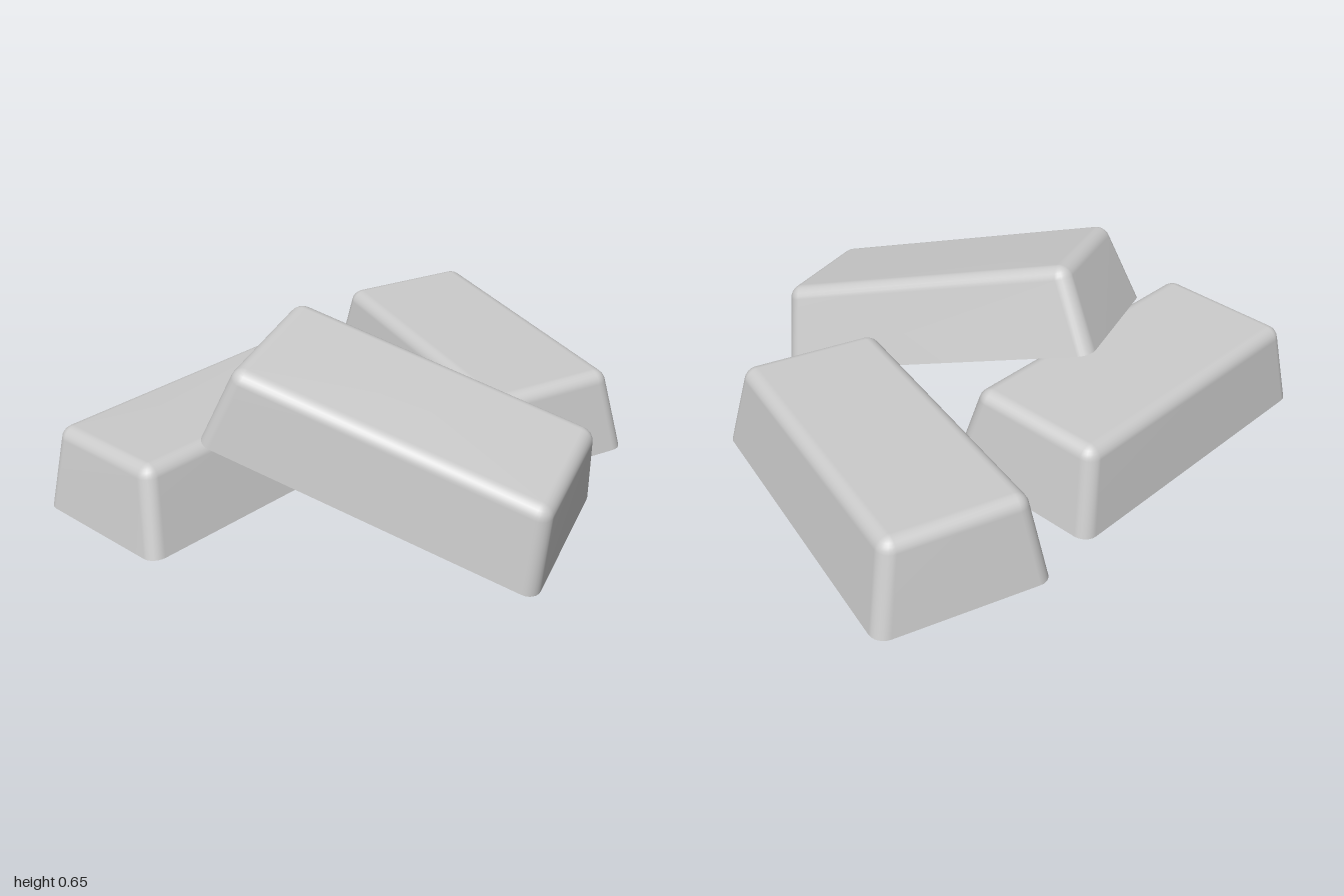
import * as THREE from 'three';

const HALF_L = 0.605, HALF_W = 0.3, HEIGHT = 0.3, R = 0.05, SLOPE = 0.185;
const ARC = 6, CORNER = 6;

// One horizontal rounded-rectangle loop, running counter-clockwise seen from above
function ring(inset, y, radius) {
  const points = [];
  const x = HALF_L - inset - radius, z = HALF_W - inset - radius;
  const corners = [[1, -1], [-1, -1], [-1, 1], [1, 1]];
  corners.forEach(([sx, sz], c) => {
    for (let i = 0; i <= CORNER; i++) {
      const a = (c + i / CORNER) * Math.PI / 2;
      points.push([sx * x + radius * Math.cos(a), y, sz * z - radius * Math.sin(a)]);
    }
  });
  return points;
}

// Tapered bar: sharp flat base, sloping sides, rounded upright corners and top edges
function ingotGeometry() {
  const phi = Math.atan(SLOPE);
  const centre = (HEIGHT - R + R * Math.sin(phi)) * SLOPE + R * Math.cos(phi);
  const rings = [ring(0, 0, R)];
  for (let i = 0; i <= ARC; i++) {
    const t = phi + (Math.PI / 2 - phi) * i / ARC;
    rings.push(ring(centre - R * Math.cos(t), HEIGHT - R + R * Math.sin(t), Math.max(R * Math.cos(t), 0.003)));
  }
  const n = rings[0].length;
  const vertices = rings.flat();
  const index = [];
  for (let k = 0; k < rings.length - 1; k++) {
    for (let i = 0; i < n; i++) {
      const a = k * n + i, b = k * n + (i + 1) % n;
      index.push(a, b, b + n, a, b + n, a + n);
    }
  }
  // Top cap shares the last loop, base cap has its own for a hard edge
  const lastLoop = (rings.length - 1) * n;
  const topCentre = vertices.push([0, HEIGHT, 0]) - 1;
  const baseLoop = vertices.length;
  vertices.push(...rings[0]);
  const baseCentre = vertices.push([0, 0, 0]) - 1;
  for (let i = 0; i < n; i++) {
    const j = (i + 1) % n;
    index.push(topCentre, lastLoop + i, lastLoop + j);
    index.push(baseCentre, baseLoop + j, baseLoop + i);
  }
  const geometry = new THREE.BufferGeometry();
  geometry.setAttribute('position', new THREE.Float32BufferAttribute(vertices.flat(), 3));
  geometry.setIndex(index);
  geometry.computeVertexNormals();
  return geometry;
}

export function createModel() {
  const group = new THREE.Group();
  group.name = 'ingotPile';
  const geometry = ingotGeometry();
  const material = new THREE.MeshStandardMaterial({ color: 0xcccccc });
  const addIngot = (name, x, y, z) => {
    const mesh = new THREE.Mesh(geometry, material);
    mesh.name = name;
    mesh.position.set(x, y, z);
    group.add(mesh);
    return mesh;
  };

  // Bar at the back, tipped slightly backward
  addIngot('backIngot', -0.395, 0.017, -0.48).rotation.x = -0.055;

  // Bar lying flat at the side
  addIngot('sideIngot', 0.545, 0.04, -0.18).rotation.y = 1.25;

  // Bar leaning on the back one
  const along = new THREE.Vector3(-0.43, 0.315, -1.07).normalize();
  const across = new THREE.Vector3(0.55, 0.06, -0.21);
  const up = across.clone().cross(along).normalize();
  across.crossVectors(along, up);
  addIngot('leaningIngot', -0.24, 0.21, 0.18)
    .quaternion.setFromRotationMatrix(new THREE.Matrix4().makeBasis(along, up, across));

  return group;
}
